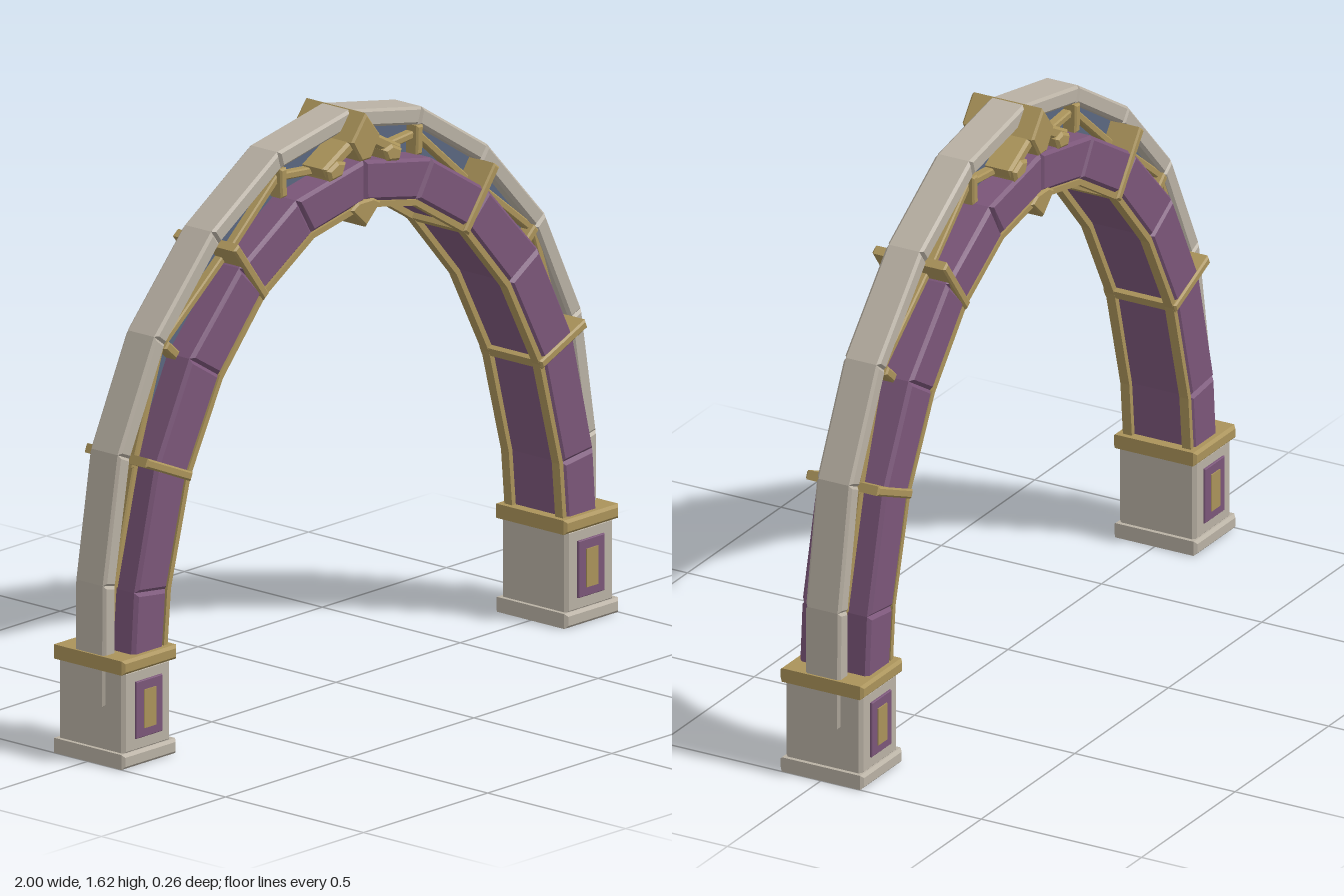
import * as THREE from 'three';

const mat = (name, color) => new THREE.MeshStandardMaterial({ name, color });

export function createModel() {
  const arch = new THREE.Group();
  arch.name = 'archway';
  const stone = mat('pale stone', 0xb9b1a4);
  const gold = mat('old gold', 0xaa935a);
  const purple = mat('plum', 0x7b5679);
  const slate = mat('slate blue', 0x5a6780);

  // Bevelled prism: outline in x-y, centred on z
  const prism = (name, pts, halfZ, material, bevel = 0.008, z = 0) => {
    const shape = new THREE.Shape(pts.map(p => new THREE.Vector2(p[0], p[1])));
    const geo = new THREE.ExtrudeGeometry(shape, {
      depth: 2 * (halfZ - bevel), bevelEnabled: bevel > 0, bevelSize: bevel,
      bevelThickness: bevel, bevelOffset: -bevel, bevelSegments: 1, steps: 1,
    });
    geo.translate(0, 0, z - halfZ + bevel);
    const mesh = new THREE.Mesh(geo, material);
    mesh.name = name;
    arch.add(mesh);
  };
  const rect = (x0, x1, y0, y1) => [[x0, y0], [x1, y0], [x1, y1], [x0, y1]];
  // Four corners of a bar of width w from a to b
  const barOutline = (a, b, w) => {
    const dx = b[0] - a[0], dy = b[1] - a[1], l = Math.hypot(dx, dy);
    const nx = -dy / l * w / 2, ny = dx / l * w / 2;
    return [[a[0] + nx, a[1] + ny], [a[0] - nx, a[1] - ny], [b[0] - nx, b[1] - ny], [b[0] + nx, b[1] + ny]];
  };

  // Joint positions along one half, from the foot to the crown
  const stoneOut = [[0.995, 0.16], [0.992, 0.5], [0.932, 0.855], [0.785, 1.155], [0.555, 1.4], [0.29, 1.565], [0, 1.62]];
  const stoneIn = [[0.945, 0.16], [0.945, 0.49], [0.885, 0.835], [0.745, 1.125], [0.525, 1.36], [0.275, 1.517], [0, 1.57]];
  const ribOut = [[0.935, 0.29], [0.922, 0.475], [0.84, 0.81], [0.7, 1.085], [0.5, 1.295], [0.272, 1.435], [0, 1.488]];
  const ribIn = [[0.812, 0.29], [0.797, 0.46], [0.718, 0.765], [0.585, 1.015], [0.412, 1.21], [0.21, 1.332], [0, 1.374]];
  const edgeIn = [[0.797, 0.29], [0.782, 0.46], [0.703, 0.757], [0.573, 1.003], [0.402, 1.196], [0.205, 1.316], [0, 1.357]];

  // Lattice bars: pairs of end points
  const lattice = [
    [[0.955, 0.3], [0.94, 0.49]], [[0.937, 0.48], [0.85, 0.82]],
    [[0.86, 0.8], [0.75, 1.12]], [[0.75, 1.115], [0.5, 1.31]],
    [[0.5, 1.3], [0.275, 1.495]], [[0.275, 1.49], [0.05, 1.47]],
  ];

  for (const s of [-1, 1]) {
    const m = pts => pts.map(([x, y]) => [s * x, y]);
    const side = s > 0 ? 'left' : 'right';

    for (let i = 0; i < 6; i++) {
      prism(`${side}OuterStone`, m([stoneIn[i], stoneOut[i], stoneOut[i + 1], stoneIn[i + 1]]), 0.055, stone);
      prism(`${side}RibBlock`, m([ribIn[i], ribOut[i], ribOut[i + 1], ribIn[i + 1]]), 0.108, purple, 0.01);
      for (const z of [-0.092, 0.092]) {
        prism(`${side}RibEdging`, m([edgeIn[i], ribIn[i], ribIn[i + 1], edgeIn[i + 1]]), 0.014, gold, 0, z);
      }
      // Thin web filling the gap between the two arches
      if (i > 0) prism(`${side}Web`, m([ribOut[i], stoneIn[i], stoneIn[i + 1], ribOut[i + 1]]), 0.02, slate, 0);
    }
    for (const [a, b] of lattice) prism(`${side}LatticeBar`, m(barOutline(a, b, 0.022)), 0.045, gold, 0.004);

    // Collars across the rib at every second joint, short ties between
    for (const j of [2, 4]) prism(`${side}Collar`, m(barOutline(edgeIn[j], stoneIn[j], 0.026)), 0.114, gold, 0.005);
    for (const j of [3, 5]) prism(`${side}Tie`, m(barOutline(ribOut[j], stoneIn[j], 0.026)), 0.06, gold, 0.005);

    // Crown ornament wings
    prism(`${side}CrownWing`, m(barOutline([0.03, 1.545], [0.15, 1.48], 0.036)), 0.1, gold);
    prism(`${side}CrownLeaf`, m([[0.075, 1.5], [0.09, 1.465], [0.14, 1.458], [0.15, 1.49], [0.11, 1.51]]), 0.11, gold);

    // Pedestal
    prism(`${side}Foot`, m(rect(0.783, 1, 0, 0.042)), 0.13, stone);
    prism(`${side}Pedestal`, m(rect(0.795, 0.988, 0.035, 0.272)), 0.12, stone, 0.01);
    prism(`${side}Cap`, m(rect(0.78, 1, 0.265, 0.305)), 0.13, gold);
    for (const f of [-1, 1]) {
      prism(`${side}PedestalPanel`, m(rect(0.838, 0.943, 0.075, 0.235)), 0.0045, purple, 0.002, f * 0.122);
      prism(`${side}PedestalInset`, m(rect(0.867, 0.914, 0.1, 0.208)), 0.003, gold, 0, f * 0.1265);
    }
  }

  // Crown keystones above and below the rib
  prism('upperKeystone', [[0, 1.622], [0.058, 1.55], [0.02, 1.49], [-0.02, 1.49], [-0.058, 1.55]], 0.112, gold, 0.006);
  prism('lowerKeystone', [[0, 1.302], [0.06, 1.36], [0.03, 1.378], [-0.03, 1.378], [-0.06, 1.36]], 0.112, gold, 0.006);

  return arch;
}
